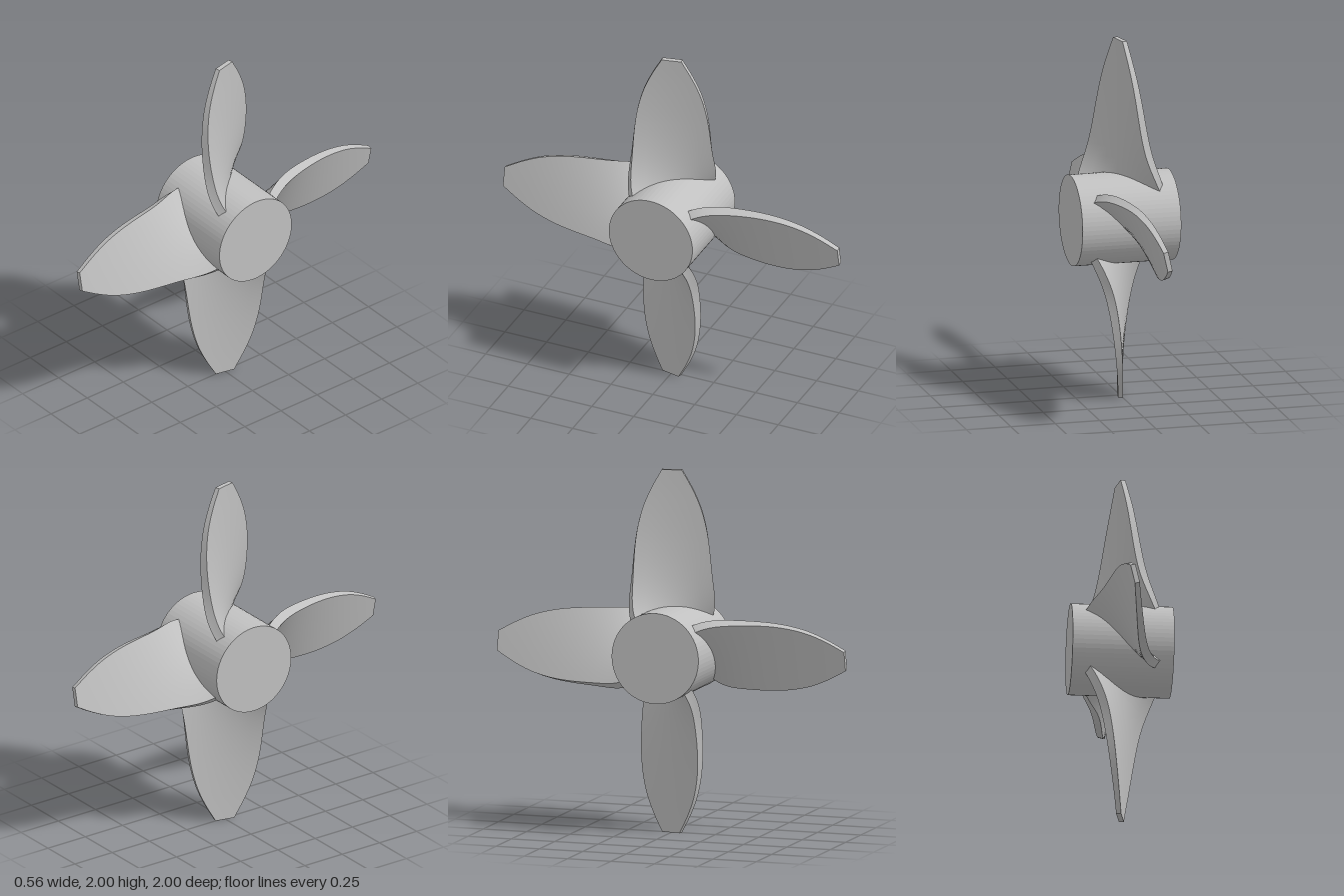
import * as THREE from 'three';

// Blade stations along the radius: radius, half chord, half thickness
const STATIONS = [
  [0.14, 0.25, 0.031], [0.25, 0.242, 0.028], [0.4, 0.22, 0.025], [0.6, 0.2, 0.021],
  [0.7, 0.183, 0.019], [0.8, 0.155, 0.017], [0.9, 0.111, 0.015], [1, 0.055, 0.0135],
];
const PITCH = 0.225;      // constant-pitch twist: tan(angle) = PITCH / radius
const ROWS = 40, COLS = 6;

// Four corners of the twisted rectangular section at one station
function section({ x: r, y: h, z: d }) {
  const t = Math.atan2(PITCH, r), s = Math.sin(t), c = Math.cos(t);
  return [[1, 1], [-1, 1], [-1, -1], [1, -1]].map(([u, n]) =>
    new THREE.Vector3(u * h * s + n * d * c, r, u * h * c - n * d * s));
}

// Blade pointing along +y; each side has its own vertices so its edges stay sharp
function bladeGeometry() {
  const curve = new THREE.CatmullRomCurve3(STATIONS.map((p) => new THREE.Vector3(...p)));
  const rings = [];
  for (let i = 0; i <= ROWS; i++) rings.push(section(curve.getPoint(i / ROWS)));
  const positions = [], indices = [];
  for (let side = 0; side < 4; side++) {
    const base = positions.length / 3;
    for (const ring of rings) {
      for (let j = 0; j <= COLS; j++) {
        positions.push(...ring[side].clone().lerp(ring[(side + 1) % 4], j / COLS));
      }
    }
    for (let i = 0; i < ROWS; i++) {
      for (let j = 0; j < COLS; j++) {
        const a = base + i * (COLS + 1) + j, d = a + COLS + 1;
        indices.push(a, a + 1, d + 1, a, d + 1, d);
      }
    }
  }
  // Flat tip and root caps
  const tip = positions.length / 3;
  for (const p of [...rings[ROWS], ...rings[0]]) positions.push(...p);
  indices.push(tip, tip + 1, tip + 2, tip, tip + 2, tip + 3);
  indices.push(tip + 4, tip + 6, tip + 5, tip + 4, tip + 7, tip + 6);

  const geometry = new THREE.BufferGeometry();
  geometry.setAttribute('position', new THREE.Float32BufferAttribute(positions, 3));
  geometry.setIndex(indices);
  geometry.computeVertexNormals();
  return geometry;
}

export function createModel() {
  const model = new THREE.Group();
  model.name = 'propeller';
  const grey = new THREE.MeshStandardMaterial({ color: 0xc0c0c0 });
  grey.name = 'grey metal';

  // Hub along the x axis, with flat facets
  const hubGeometry = new THREE.CylinderGeometry(0.25, 0.25, 0.555, 64).toNonIndexed();
  hubGeometry.computeVertexNormals();
  const hub = new THREE.Mesh(hubGeometry, grey);
  hub.name = 'hub';
  hub.rotation.z = Math.PI / 2;
  hub.position.y = 1;
  model.add(hub);

  // Four blades evenly spaced around the hub
  const geometry = bladeGeometry();
  for (let i = 0; i < 4; i++) {
    const blade = new THREE.Mesh(geometry, grey);
    blade.name = `blade${i + 1}`;
    blade.rotation.x = i * Math.PI / 2;
    blade.position.y = 1;
    model.add(blade);
  }
  return model;
}
